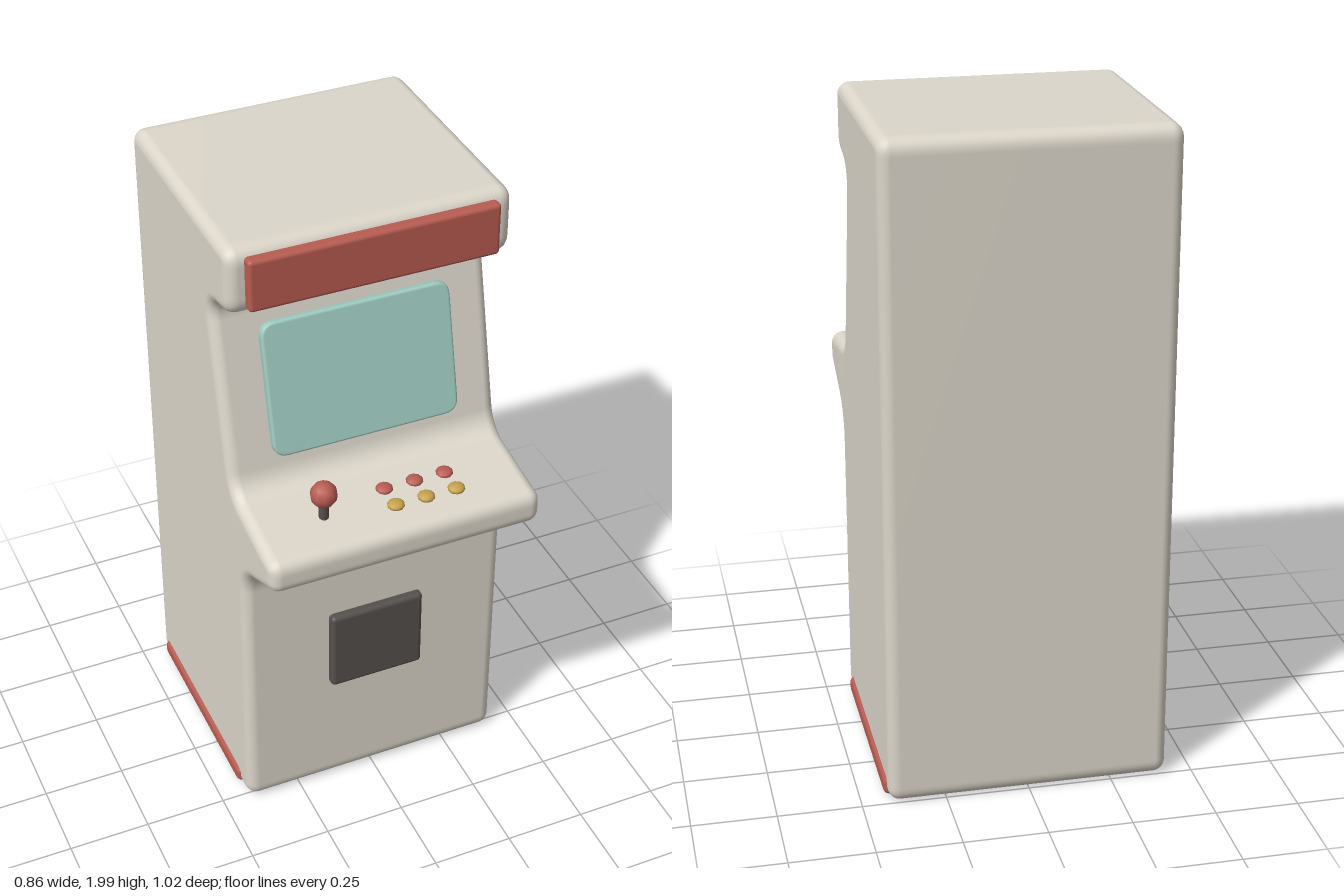
import * as THREE from 'three';
import { mergeVertices } from 'three/addons/utils/BufferGeometryUtils.js';
import { RoundedBoxGeometry } from 'three/addons/geometries/RoundedBoxGeometry.js';

const material = (color) => new THREE.MeshStandardMaterial({ color });
const cream = material(0xdcd6ca);
const red = material(0xb85c52);
const teal = material(0x9fcbc1);
const dark = material(0x54504d);
const gold = material(0xc4a24c);

function add(parent, name, geometry, mat, x = 0, y = 0, z = 0) {
  const mesh = new THREE.Mesh(geometry, mat);
  mesh.name = name;
  mesh.position.set(x, y, z);
  parent.add(mesh);
  return mesh;
}

// Closed outline from corners [x, y, radius], each corner rounded
function roundedShape(corners) {
  const shape = new THREE.Shape();
  const n = corners.length;
  corners.forEach(([x, y, r], i) => {
    const p = new THREE.Vector2(x, y);
    const toward = ([qx, qy]) => {
      const d = new THREE.Vector2(qx - x, qy - y).normalize();
      return d;
    };
    const a = toward(corners[(i + n - 1) % n]);
    const b = toward(corners[(i + 1) % n]);
    const cut = r / Math.tan(a.angleTo(b) / 2);
    const start = p.clone().addScaledVector(a, cut);
    const end = p.clone().addScaledVector(b, cut);
    if (i === 0) shape.moveTo(start.x, start.y);
    else shape.lineTo(start.x, start.y);
    shape.quadraticCurveTo(x, y, end.x, end.y);
  });
  shape.closePath();
  return shape;
}

// Extrusion with a soft edge that stays inside the outline, centred on its depth
function softExtrude(shape, depth, bevel, curveSegments = 6) {
  const geo = new THREE.ExtrudeGeometry(shape, {
    depth: depth - 2 * bevel, bevelThickness: bevel, bevelSize: bevel,
    bevelOffset: -bevel, bevelSegments: 5, curveSegments,
  });
  geo.translate(0, 0, bevel - depth / 2);
  geo.deleteAttribute('normal');
  geo.deleteAttribute('uv');
  const smooth = mergeVertices(geo, 1e-4);
  smooth.computeVertexNormals();
  return smooth;
}

export function createModel() {
  const cabinet = new THREE.Group();
  cabinet.name = 'arcadeCabinet';

  // Side profile as [z, y, radius], swept across the width
  const profile = roundedShape([
    [-0.51, 0.01, 0.05],
    [0.28, 0.01, 0.05],
    [0.28, 0.935, 0.12],
    [0.51, 1.045, 0.045],
    [0.51, 1.137, 0.045],
    [0.213, 1.183, 0.09],
    [0.076, 1.765, 0.07],
    [0.24, 1.80, 0.065],
    [0.24, 2.0, 0.05],
    [-0.51, 2.0, 0.05],
  ]);
  const bodyGeo = softExtrude(profile, 0.84, 0.035, 8);
  bodyGeo.rotateY(-Math.PI / 2);
  add(cabinet, 'body', bodyGeo, cream);

  // Panels on the front
  add(cabinet, 'marquee', new RoundedBoxGeometry(0.74, 0.16, 0.04, 3, 0.012), red, 0, 1.9, 0.25);
  add(cabinet, 'coinDoor', new RoundedBoxGeometry(0.3, 0.275, 0.04, 3, 0.014), dark, 0, 0.552, 0.287);

  // Leaning screen with rounded corners
  const w = 0.288, h = 0.204, r = 0.045;
  const outline = roundedShape([[-w, -h, r], [w, -h, r], [w, h, r], [-w, h, r]]);
  const screen = add(cabinet, 'screen', softExtrude(outline, 0.03, 0.008), teal, 0, 1.474, 0.162);
  screen.rotation.x = -0.23;

  // Joystick
  const joystick = new THREE.Group();
  joystick.name = 'joystick';
  joystick.position.set(-0.205, 0, 0.375);
  cabinet.add(joystick);
  add(joystick, 'stick', new THREE.CylinderGeometry(0.015, 0.015, 0.08, 10), dark, 0, 1.185);
  add(joystick, 'ball', new THREE.SphereGeometry(0.04, 10, 8), red, 0, 1.238);

  // Two rows of three buttons
  const buttonGeo = new THREE.SphereGeometry(0.026, 10, 8).scale(1, 0.52, 1);
  for (const [row, z, mat] of [['back', 0.335, red], ['front', 0.415, gold]]) {
    for (let i = 0; i < 3; i++) {
      add(cabinet, `${row}Button${i + 1}`, buttonGeo, mat, i * 0.095, 1.165, z);
    }
  }

  // Kick strips along the bottom of both sides
  for (const [side, s] of [['left', 1], ['right', -1]]) {
    add(cabinet, `${side}BaseStrip`, new RoundedBoxGeometry(0.04, 0.055, 0.67, 3, 0.018),
      red, s * 0.41, 0.043, -0.13);
  }

  return cabinet;
}
